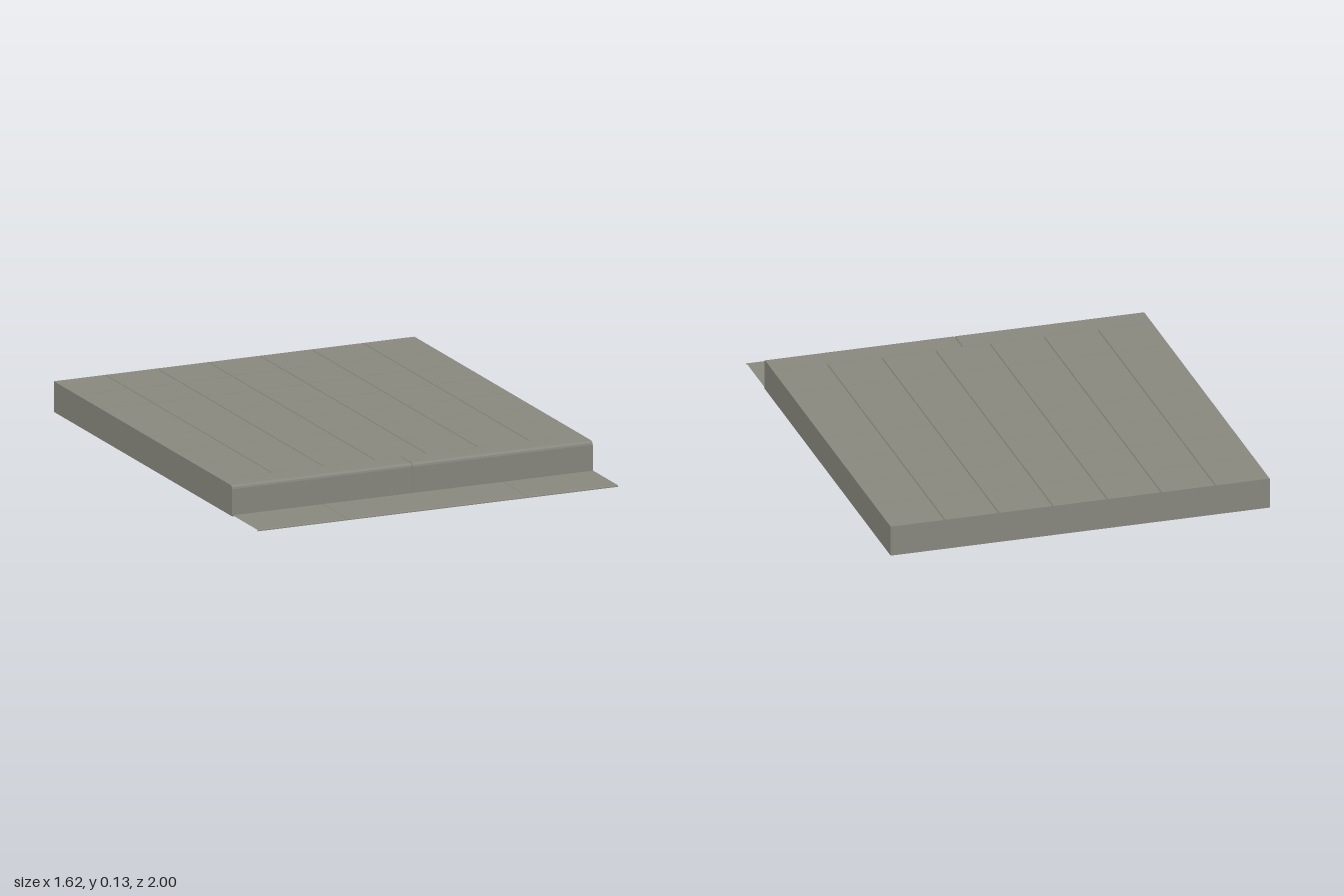
import * as THREE from 'three';

const HALF = 0.8125, TOP = 0.13, BACK = -1, FACE = 0.75, CURB = 0.63;

export function createModel() {
  const model = new THREE.Group();
  model.name = 'pavementSection';
  const concrete = new THREE.MeshStandardMaterial({ color: 0x8a8980, side: THREE.DoubleSide });
  concrete.name = 'concrete';

  const add = (name, geometry) => {
    const mesh = new THREE.Mesh(geometry, concrete);
    mesh.name = name;
    model.add(mesh);
    return mesh;
  };

  // Flat-shaded sheet of quads from a point rule over columns and rows
  const sheet = (cols, rows, point) => {
    const pos = [];
    for (let i = 0; i < cols.length - 1; i++) {
      for (let j = 0; j < rows.length - 1; j++) {
        const a = point(cols[i], rows[j]), b = point(cols[i + 1], rows[j]);
        const c = point(cols[i + 1], rows[j + 1]), d = point(cols[i], rows[j + 1]);
        pos.push(...a, ...d, ...c, ...a, ...c, ...b);
      }
    }
    const g = new THREE.BufferGeometry();
    g.setAttribute('position', new THREE.Float32BufferAttribute(pos, 3));
    g.computeVertexNormals();
    return g;
  };

  // Coordinates from start to end with a V groove at each given place
  const grooved = (start, end, places, width, depth) => [
    { at: start, drop: 0 },
    ...places.flatMap((p) => [
      { at: p - width, drop: 0 }, { at: p, drop: depth }, { at: p + width, drop: 0 },
    ]),
    { at: end, drop: 0 },
  ];

  // Paving: seven by seven slabs divided by grooves
  const pitchX = (HALF * 2) / 7, pitchZ = (CURB - BACK) / 7;
  const xJoints = [], zJoints = [];
  for (let i = 1; i < 7; i++) {
    xJoints.push(-HALF + i * pitchX);
    zJoints.push(BACK + i * pitchZ);
  }
  const cols = grooved(-HALF, HALF, xJoints, 0.003, 0.008);
  const rows = grooved(BACK, CURB - 0.003, zJoints, 0.003, 0.008);
  // The fifth cross joint is a wider expansion joint
  rows[13].at -= 0.002;
  rows[15].at += 0.002;
  rows[14].drop = 0.012;
  rows.push({ at: CURB, drop: 0.008 });
  add('pavingSlabs', sheet(cols, rows, (c, r) => [c.at, TOP - Math.max(c.drop, r.drop), r.at]));

  // Curb: rounded nose, two stones meeting at a central groove
  const curbProfile = [
    [CURB, TOP - 0.008], [CURB + 0.003, TOP], [FACE - 0.015, TOP],
    [FACE - 0.007, TOP - 0.002], [FACE - 0.002, TOP - 0.007], [FACE, TOP - 0.015], [FACE, 0],
  ];
  const curbCols = grooved(-HALF, HALF, [0], 0.004, 0.008);
  add('curbStones', sheet(curbCols, curbProfile, (c, [z, y]) =>
    [c.at, Math.min(y, TOP - c.drop), z > CURB + 0.01 ? Math.min(z, FACE - c.drop) : z]));

  // Upright plates cut to a (z, y) outline
  const upright = (name, x, outline) => {
    const dir = x > 0 ? -1 : 1;
    const shape = new THREE.Shape(outline.map(([z, y]) => new THREE.Vector2(z * dir, y)));
    const mesh = add(name, new THREE.ShapeGeometry(shape).rotateY((-dir * Math.PI) / 2));
    mesh.position.x = x;
  };
  const nose = curbProfile.slice(2);
  for (const s of [-1, 1]) {
    upright(s > 0 ? 'leftWall' : 'rightWall', s * HALF, [[BACK, 0], [BACK, TOP], ...nose]);
  }
  // Stone end at the central joint
  upright('curbJoint', 0, [
    [CURB, 0], [CURB, TOP - 0.008], [FACE - 0.016, TOP - 0.008], [FACE - 0.008, TOP - 0.016], [FACE - 0.008, 0],
  ]);

  // Back wall
  const back = add('backWall', new THREE.PlaneGeometry(HALF * 2, TOP).rotateY(Math.PI));
  back.position.set(0, TOP / 2, BACK);

  // Gutter: thin strip of three plates in front of the curb
  const gutterCols = grooved(-HALF, HALF, [-HALF / 2, HALF / 2], 0.004, 0.005);
  const gutterRows = [[FACE, 0.002], [FACE + 0.004, 0.006], [0.996, 0.006], [1, 0.004], [1, 0]];
  add('gutter', sheet(gutterCols, gutterRows, (c, [z, y]) => [c.at, Math.max(0, Math.min(y, 0.006 - c.drop)), z]));

  return model;
}
